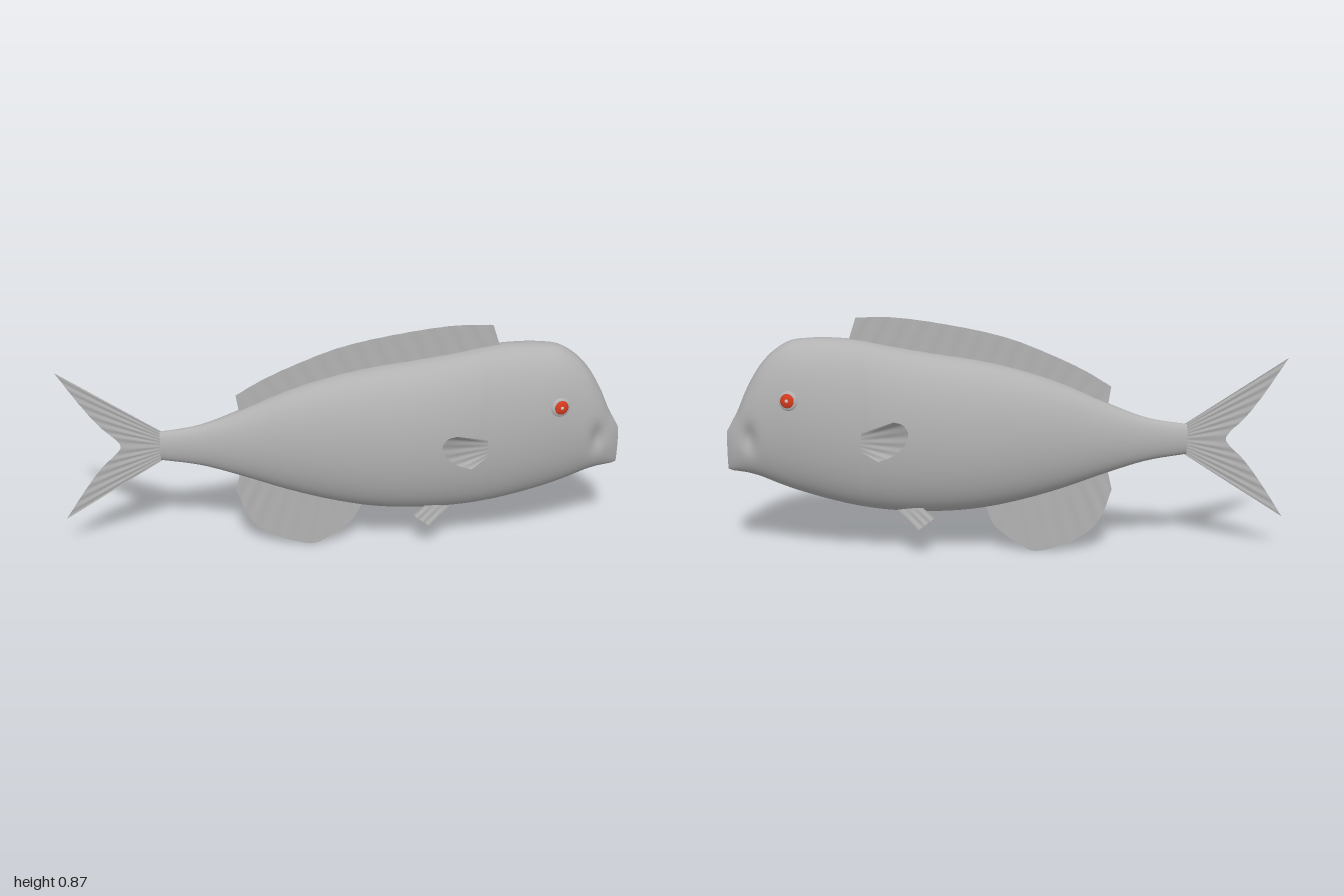
import * as THREE from 'three';

const V = (x, y, z = 0) => new THREE.Vector3(x, y, z);
const curve = (pts) => new THREE.CatmullRomCurve3(pts, false, 'centripetal');

// Body stations: x, back height, belly height, half width
const STATIONS = [
  [-0.645, 0.485, 0.375, 0.024], [-0.5, 0.51, 0.35, 0.036], [-0.35, 0.568, 0.303, 0.064],
  [-0.2, 0.635, 0.25, 0.094], [-0.05, 0.686, 0.207, 0.119], [0.1, 0.722, 0.177, 0.136],
  [0.25, 0.746, 0.166, 0.142], [0.4, 0.772, 0.17, 0.14], [0.52, 0.796, 0.185, 0.135],
  [0.62, 0.805, 0.208, 0.131], [0.7, 0.804, 0.231, 0.125], [0.765, 0.794, 0.252, 0.115],
  [0.825, 0.757, 0.275, 0.101], [0.875, 0.702, 0.296, 0.086], [0.92, 0.625, 0.31, 0.067],
  [0.955, 0.545, 0.316, 0.047], [0.98, 0.498, 0.319, 0.03], [0.998, 0.465, 0.325, 0.013],
];

// Smooth body from elliptical sections, with gill groove and mouth creases
function bodyGeometry(rings = 170, sides = 56) {
  const heights = new THREE.CatmullRomCurve3(STATIONS.map((s) => V(s[0], s[1], s[2])), false, 'catmullrom', 0.5);
  const widths = new THREE.CatmullRomCurve3(STATIONS.map((s) => V(s[0], s[3])), false, 'catmullrom', 0.5);
  const pos = [], idx = [];
  for (let i = 0; i <= rings; i++) {
    const p = heights.getPoint(i / rings);
    const w = widths.getPoint(i / rings).y;
    const mid = (p.y + p.z) / 2, half = (p.y - p.z) / 2;
    for (let j = 0; j < sides; j++) {
      const a = (j / sides) * Math.PI * 2;
      const y = mid + half * Math.sin(a), c = Math.cos(a);
      let z = w * Math.sign(c) * Math.pow(Math.abs(c), 0.9);
      const gillX = 0.505 + 0.25 * (y - 0.48) ** 2;
      z *= 1 - 0.035 * Math.exp(-(((p.x - gillX) / 0.018) ** 2));
      z *= 1 - 0.3 * Math.exp(-(((p.x - 0.915) / 0.028) ** 2) - ((y - 0.455) / 0.05) ** 2);
      pos.push(p.x, y, z);
    }
  }
  for (let i = 0; i < rings; i++) {
    for (let j = 0; j < sides; j++) {
      const k = (j + 1) % sides;
      const a = i * sides + j, b = a + sides, c = i * sides + k, d = c + sides;
      idx.push(a, b, c, b, d, c);
    }
  }
  // End caps with their own vertices, so their rims stay sharp
  for (const ring of [0, rings]) {
    const start = pos.length / 3;
    const from = ring * sides * 3;
    pos.push(...pos.slice(from, from + sides * 3));
    const s = STATIONS[ring ? STATIONS.length - 1 : 0];
    pos.push(s[0], (s[1] + s[2]) / 2, 0);
    for (let j = 0; j < sides; j++) {
      const a = start + j, b = start + ((j + 1) % sides);
      idx.push(start + sides, ring ? b : a, ring ? a : b);
    }
  }
  return indexed(pos, idx);
}

function indexed(pos, idx) {
  const g = new THREE.BufferGeometry();
  g.setAttribute('position', new THREE.Float32BufferAttribute(pos, 3));
  g.setIndex(idx);
  g.computeVertexNormals();
  return g;
}

// Thin fin spanned between a root curve and an outer edge, rippled by its rays
function finGeometry(root, edge, rays, side = 1, ripple = 0.0015) {
  const r = curve(root), e = curve(edge), n = rays * 6, m = 6;
  const pos = [], idx = [];
  for (let i = 0; i <= n; i++) {
    const a = r.getPointAt(i / n), b = e.getPointAt(i / n);
    for (let j = 0; j <= m; j++) {
      const p = a.clone().lerp(b, j / m);
      const wave = ripple * Math.sin((i / n) * rays * Math.PI * 2) * Math.sin((j / m) * Math.PI * 0.8);
      pos.push(p.x, p.y, (p.z + wave) * side);
      if (i < n && j < m) {
        const k = i * (m + 1) + j, l = k + m + 1;
        idx.push(k, l, k + 1, l, l + 1, k + 1);
      }
    }
  }
  return indexed(pos, idx);
}

export function createModel() {
  const model = new THREE.Group();
  model.name = 'fish';
  const mat = (name, color, side = THREE.FrontSide) => {
    const m = new THREE.MeshStandardMaterial({ color, side });
    m.name = name;
    return m;
  };
  const skin = mat('grey skin', 0xb2b2b2, THREE.DoubleSide);
  const red = mat('red iris', 0xd23a20);
  const pale = mat('pale eye', 0xc4c4c0);

  const add = (name, geometry, material = skin, parent = model) => {
    const mesh = new THREE.Mesh(geometry, material);
    mesh.name = name;
    parent.add(mesh);
    return mesh;
  };

  add('body', bodyGeometry());

  // Fins on the centre line
  add('dorsalFin', finGeometry(
    [V(-0.36, 0.545), V(-0.2, 0.615), V(0, 0.68), V(0.2, 0.72), V(0.4, 0.755), V(0.56, 0.785)],
    [V(-0.372, 0.625), V(-0.28, 0.682), V(-0.15, 0.745), V(0, 0.804), V(0.2, 0.85), V(0.4, 0.878), V(0.53, 0.878)], 14));
  add('analFin', finGeometry(
    [V(-0.36, 0.33), V(-0.2, 0.27), V(0, 0.21), V(0.085, 0.19)],
    [V(-0.38, 0.24), V(-0.345, 0.14), V(-0.31, 0.09), V(-0.22, 0.035), V(-0.1, 0.005), V(-0.05, 0.03),
      V(0.04, 0.1), V(0.075, 0.17)], 9));
  add('tailFin', finGeometry(
    [V(-0.635, 0.485), V(-0.635, 0.43), V(-0.635, 0.375)],
    [V(-1, 0.728), V(-0.91, 0.585), V(-0.85, 0.505), V(-0.8, 0.455), V(-0.786, 0.43), V(-0.8, 0.405),
      V(-0.85, 0.355), V(-0.91, 0.275), V(-1, 0.135)], 12));

  // Paired fins and eyes
  for (const [label, s] of [['left', -1], ['right', 1]]) {
    const sideName = s > 0 ? 'front' : 'back';
    add(`${sideName}PectoralFin`, finGeometry(
      [V(0.512, 0.492, 0.13), V(0.512, 0.46, 0.13), V(0.512, 0.425, 0.13)],
      [V(0.39, 0.558, 0.22), V(0.36, 0.547, 0.217), V(0.342, 0.515, 0.211), V(0.352, 0.473, 0.202),
        V(0.39, 0.43, 0.187), V(0.45, 0.4, 0.172)], 5, s));
    add(`${sideName}PelvicFin`, finGeometry(
      [V(0.39, 0.185, 0.056), V(0.345, 0.192, 0.062), V(0.3, 0.195, 0.066)],
      [V(0.318, 0.113, 0.075), V(0.285, 0.137, 0.075), V(0.258, 0.16, 0.075)], 3, s));

    const eye = new THREE.Group();
    eye.name = `${sideName}Eye`;
    eye.position.set(0.765, 0.605, 0.106 * s);
    eye.rotation.set(-0.13 * s, 0.25 * s, 0);
    model.add(eye);
    const ball = new THREE.SphereGeometry(1, 32, 20);
    add('eyeRim', ball, skin, eye).scale.set(0.036, 0.036, 0.011);
    add('iris', ball, red, eye).scale.set(0.03, 0.03, 0.0145);
    add('pupil', ball, pale, eye).scale.set(0.012, 0.012, 0.0165);
  }
  return model;
}
